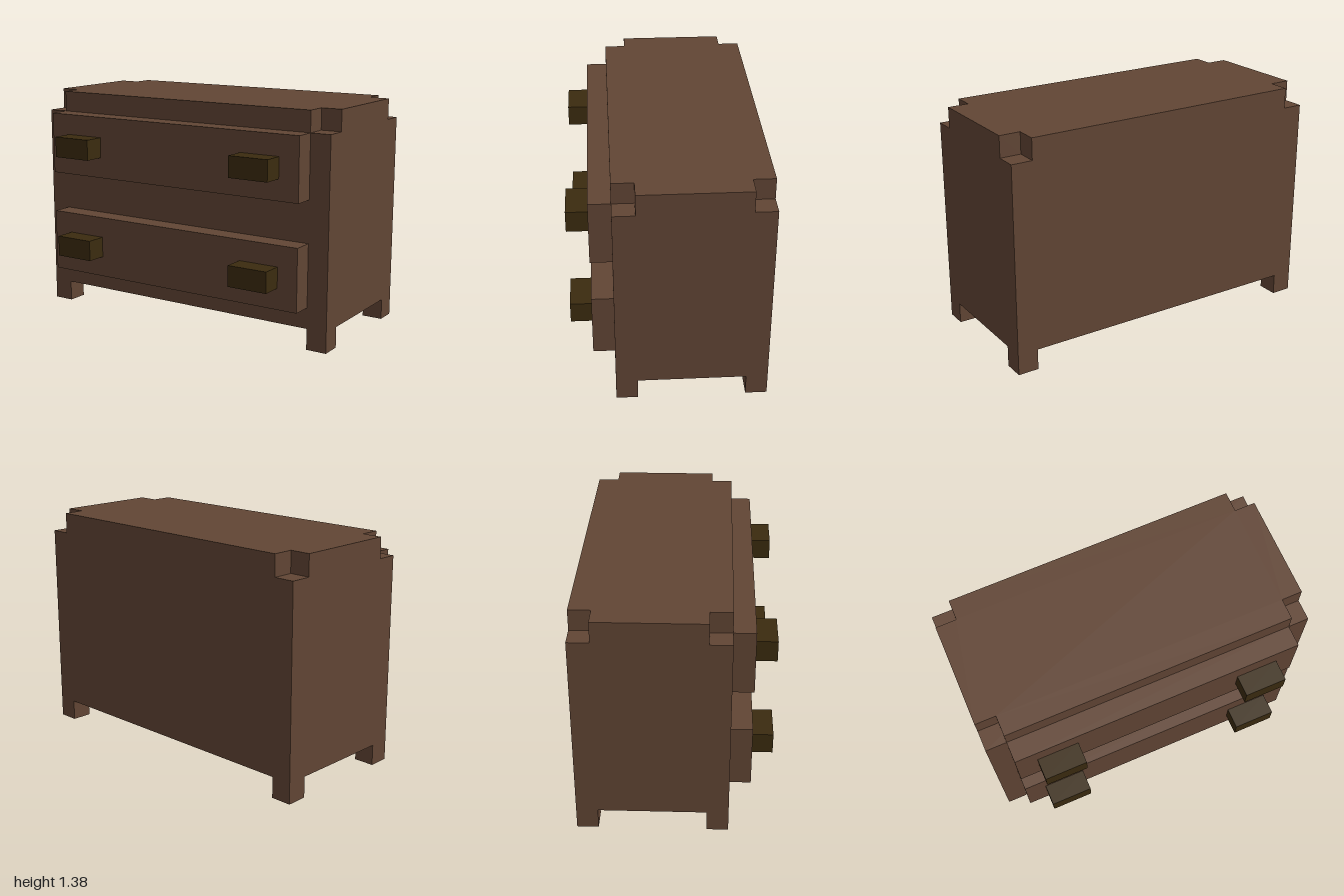
import * as THREE from 'three';

const U = 0.125; // all sizes are multiples of this unit

export function createModel() {
  const wood = new THREE.MeshStandardMaterial({ color: 0x614534 });
  wood.name = 'brown wood';
  const darkWood = new THREE.MeshStandardMaterial({ color: 0x3b2b0f });
  darkWood.name = 'dark handle wood';

  const model = new THREE.Group();
  model.name = 'chestOfDrawers';

  // Box given by its centre x, bottom y, back z and size, in units
  function box(name, material, x, y, z, w, h, d) {
    const mesh = new THREE.Mesh(new THREE.BoxGeometry(w * U, h * U, d * U), material);
    mesh.position.set(x * U, (y + h / 2) * U, (z + d / 2) * U);
    mesh.name = name;
    model.add(mesh);
  }

  const back = -4.5, depth = 7, front = back + depth;

  // Cabinet body
  box('cabinet', wood, 0, 1, back, 16, 9, depth);

  // Top slab with its four corners cut out
  const w = 8, d = depth / 2;
  const outline = [
    [-w + 1, -d], [w - 1, -d], [w - 1, -d + 1], [w, -d + 1],
    [w, d - 1], [w - 1, d - 1], [w - 1, d], [-w + 1, d],
    [-w + 1, d - 1], [-w, d - 1], [-w, -d + 1], [-w + 1, -d + 1],
  ].map(([x, z]) => new THREE.Vector2(x * U, z * U));
  const slab = new THREE.ExtrudeGeometry(new THREE.Shape(outline), { depth: U, bevelEnabled: false });
  slab.rotateX(-Math.PI / 2);
  const top = new THREE.Mesh(slab, wood);
  top.position.set(0, 10 * U, (back + d) * U);
  top.name = 'top';
  model.add(top);

  // Legs
  for (const [side, x] of [['left', 7.5], ['right', -7.5]]) {
    box(side + 'FrontLeg', wood, x, 0, front - 1, 1, 1, 1);
    box(side + 'BackLeg', wood, x, 0, back, 1, 1, 1);
  }

  // Drawers, each with two handles
  for (const [level, y] of [['lower', 2], ['upper', 7]]) {
    box(level + 'Drawer', wood, 0, y, front, 14, 3, 1);
    box(level + 'LeftHandle', darkWood, 5, y + 1, front + 1, 2, 1, 1);
    box(level + 'RightHandle', darkWood, -5, y + 1, front + 1, 2, 1, 1);
  }

  return model;
}
